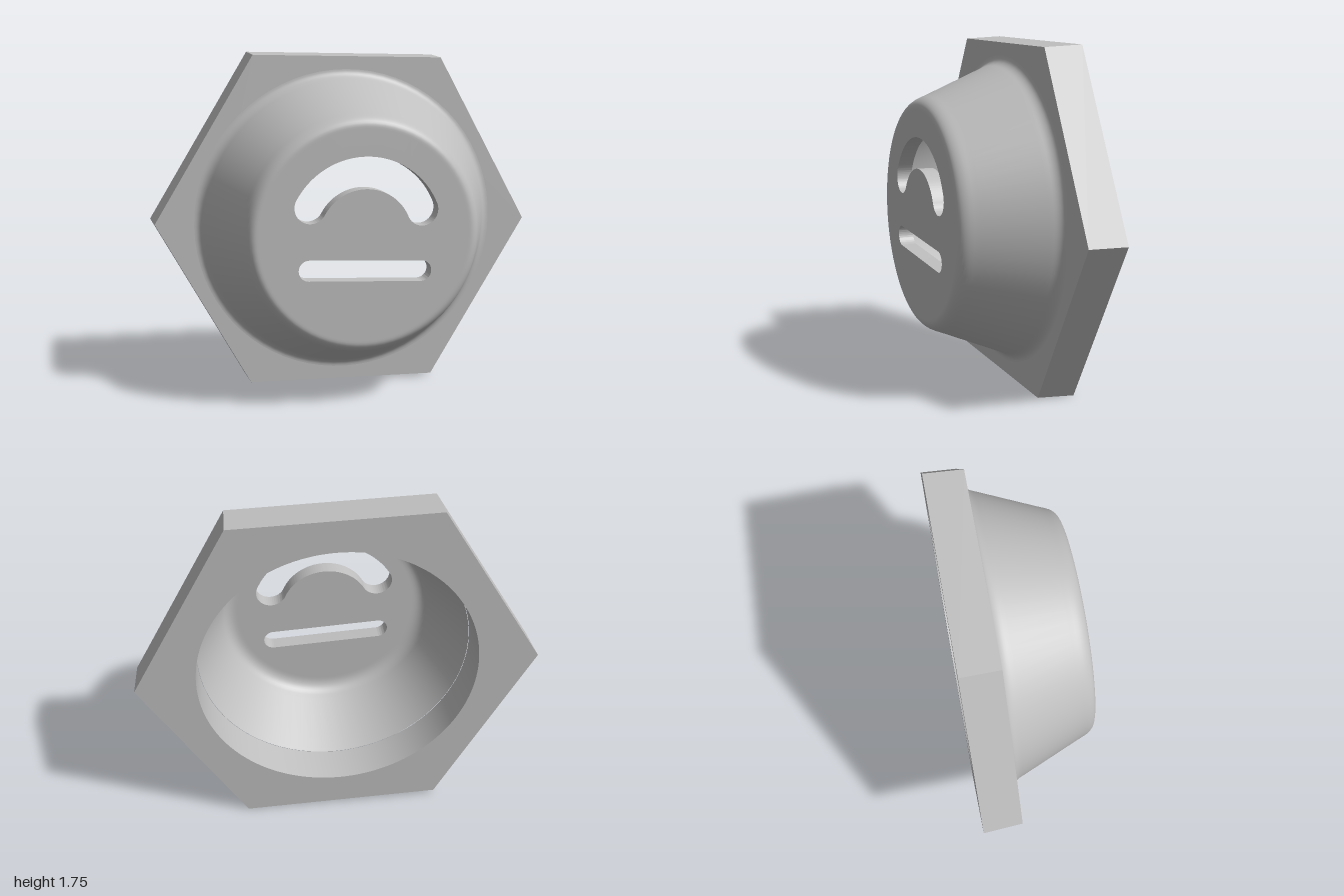
import * as THREE from 'three';
import { toCreasedNormals } from 'three/addons/utils/BufferGeometryUtils.js';

const SEG = 72;
const BACK = -0.32, FLANGE_FRONT = -0.127, FLOOR = 0.24, FRONT = 0.32;
const PLATE_R = 0.45;

// Profile of [radius, z] points, turned about the z axis
function turned(points) {
  const profile = points.map(([r, z]) => new THREE.Vector2(r, z));
  return new THREE.LatheGeometry(profile, SEG).rotateX(Math.PI / 2);
}

// Rounds the corner b between a and c with a quadratic curve
function rounded(a, b, c, n = 8) {
  const v = (p) => new THREE.Vector2(...p);
  return new THREE.QuadraticBezierCurve(v(a), v(b), v(c)).getPoints(n).map((p) => [p.x, p.y]);
}

function extruded(shape, z0, z1) {
  const geo = new THREE.ExtrudeGeometry(shape, { depth: z1 - z0, bevelEnabled: false, curveSegments: SEG });
  return geo.translate(0, 0, z0);
}

// Arched slot with round ends, centred on the axis
function archSlot(radius, half, a0, a1) {
  const path = new THREE.Path();
  const end = (a) => [radius * Math.cos(a), radius * Math.sin(a)];
  path.absarc(0, 0, radius + half, a0, a1, false);
  path.absarc(...end(a1), half, a1, a1 + Math.PI, false);
  path.absarc(0, 0, radius - half, a1, a0, true);
  path.absarc(...end(a0), half, a0 + Math.PI, a0 + 2 * Math.PI, false);
  return path;
}

// Straight slot with round ends
function barSlot(x0, y0, x1, y1, half) {
  const a = Math.atan2(y1 - y0, x1 - x0);
  const path = new THREE.Path();
  path.absarc(x1, y1, half, a - Math.PI / 2, a + Math.PI / 2, false);
  path.absarc(x0, y0, half, a + Math.PI / 2, a + Math.PI * 1.5, false);
  return path;
}

export function createModel() {
  const model = new THREE.Group();
  model.name = 'hexFlangeCup';
  const grey = new THREE.MeshStandardMaterial({ color: 0xbfbfbf });
  grey.name = 'plain grey';
  const add = (name, geometry) => {
    const mesh = new THREE.Mesh(geometry, grey);
    mesh.name = name;
    mesh.position.y = 0.876;
    model.add(mesh);
  };

  // Hexagonal flange with a round bore, slightly narrower at the front
  const hex = new THREE.Shape();
  const tilt = THREE.MathUtils.degToRad(-1.15);
  for (let i = 0; i < 6; i++) {
    const a = tilt + (i * Math.PI) / 3;
    hex[i ? 'lineTo' : 'moveTo'](Math.cos(a), Math.sin(a));
  }
  hex.closePath();
  hex.holes.push(new THREE.Path().absarc(0, 0, 0.7, 0, Math.PI * 2, true));
  const flange = extruded(hex, BACK, FLANGE_FRONT);
  const pos = flange.attributes.position;
  for (let i = 0; i < pos.count; i++) {
    const s = pos.getZ(i) > (BACK + FLANGE_FRONT) / 2 ? 0.988 : 1;
    pos.setXY(i, pos.getX(i) * s, pos.getY(i) * s);
  }
  add('flange', toCreasedNormals(flange, 0.3));

  // Tapered outer wall, filleted at the flange and at the front rim
  add('outerWall', turned([
    ...rounded([0.79, FLANGE_FRONT], [0.755, FLANGE_FRONT], [0.738, -0.08]),
    [0.73, -0.06], [0.61, 0.225],
    ...rounded([0.598, 0.255], [0.575, FRONT], [0.535, FRONT]),
    [0.525, FRONT], [PLATE_R, FRONT],
  ]));

  // Tapered inner wall, filleted at the floor
  add('innerWall', turned([
    [PLATE_R, FLOOR], [0.465, FLOOR],
    ...rounded([0.475, FLOOR], [0.53, FLOOR], [0.552, 0.19]),
    [0.56, 0.17], [0.683, -0.11], [0.69, FLANGE_FRONT],
  ]));

  // End plate with the two slots cut through it
  const disc = new THREE.Shape().absarc(0, 0, PLATE_R, 0, Math.PI * 2, false);
  const deg = THREE.MathUtils.degToRad;
  disc.holes.push(archSlot(0.312, 0.079, deg(23), deg(151)));
  disc.holes.push(barSlot(-0.282, -0.158, 0.282, -0.184, 0.052));
  add('slottedEndPlate', toCreasedNormals(extruded(disc, FLOOR, FRONT), 0.5));

  return model;
}
